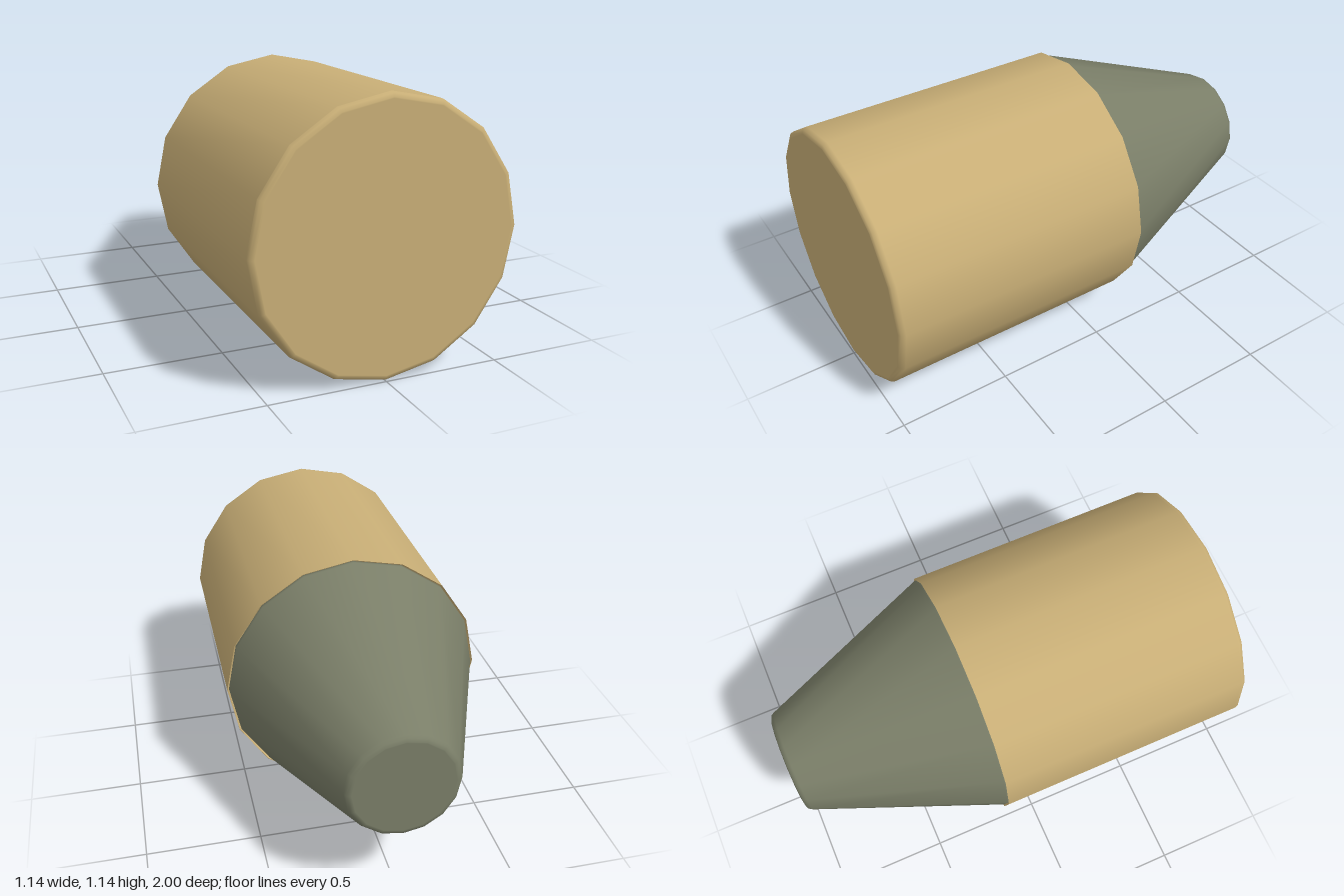
import * as THREE from 'three';

const SIDES = 16;

// Turns a [radius, z] profile, listed from back to front, around the z axis.
// Extra points beside each bevel keep the caps and walls evenly shaded.
function turned(name, profile, material) {
  const points = profile.map(([r, z]) => new THREE.Vector2(r, z));
  const geometry = new THREE.LatheGeometry(points, SIDES);
  geometry.rotateX(Math.PI / 2);
  const mesh = new THREE.Mesh(geometry, material);
  mesh.name = name;
  mesh.position.y = 0.57;
  return mesh;
}

export function createModel() {
  const brass = new THREE.MeshStandardMaterial({ color: 0xc8ae76 });
  brass.name = 'sand brass';
  const greyGreen = new THREE.MeshStandardMaterial({ color: 0x7a7e68 });
  greyGreen.name = 'grey green';

  const model = new THREE.Group();
  model.name = 'roundWithTaperedTip';

  // Straight casing with softly bevelled rims
  model.add(turned('casing', [
    [0, -0.14], [0.545, -0.14], [0.55, -0.14],
    [0.564, -0.146], [0.57, -0.16], [0.57, -0.165],
    [0.57, 0.975], [0.57, 0.98], [0.564, 0.994],
    [0.55, 1], [0.545, 1], [0, 1],
  ], brass));

  // Truncated cone pointing backwards, blunt at its end
  model.add(turned('taperedTip', [
    [0, -1], [0.21, -1], [0.215, -1],
    [0.229, -0.995], [0.237, -0.982], [0.239, -0.977],
    [0.559, -0.169], [0.561, -0.164], [0.561, -0.152],
    [0.548, -0.143], [0.54, -0.143], [0, -0.143],
  ], greyGreen));

  return model;
}
